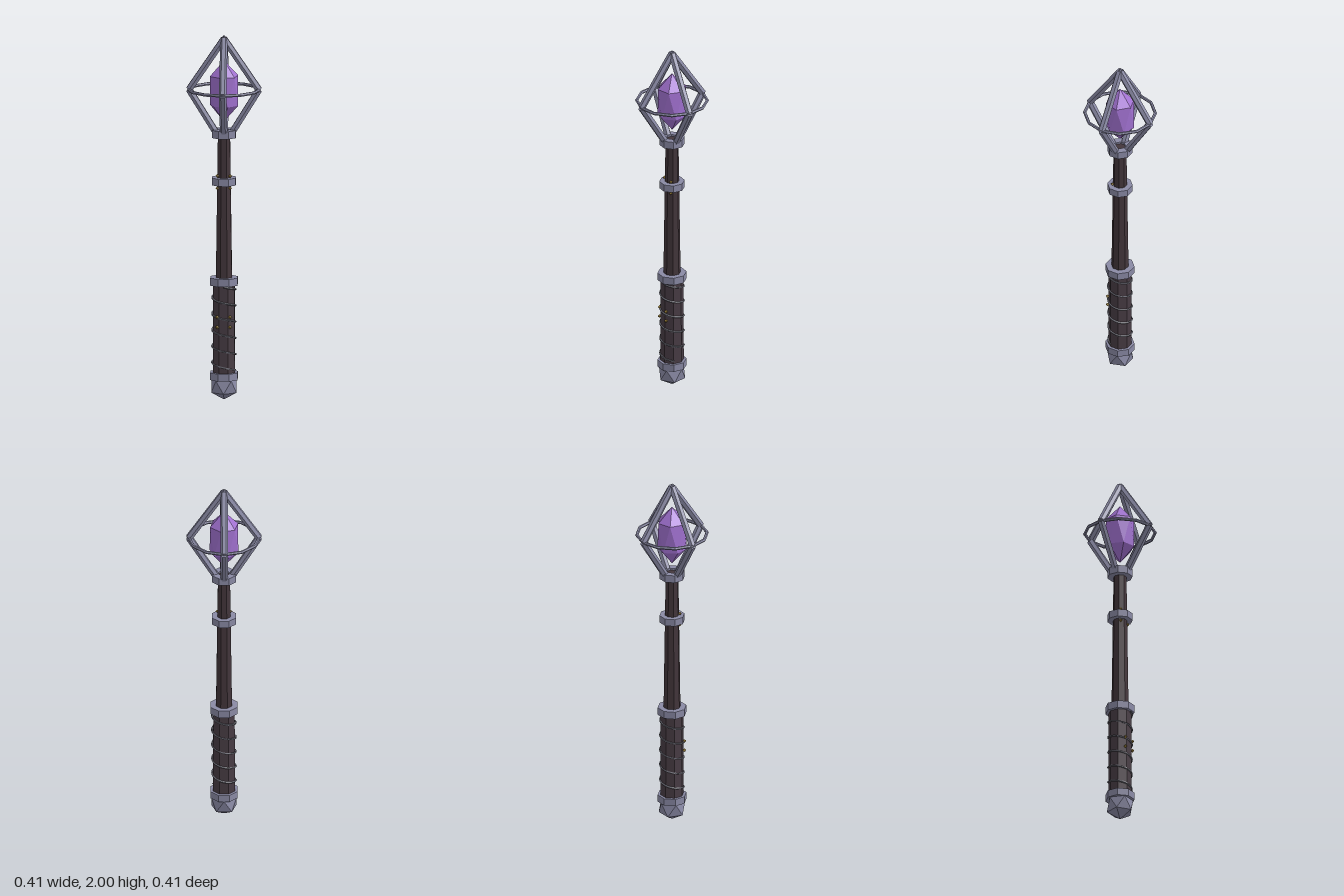
import * as THREE from 'three';
import { ConvexGeometry } from 'three/addons/geometries/ConvexGeometry.js';

const flat = (name, color) => {
  const m = new THREE.MeshStandardMaterial({ color, flatShading: true });
  m.name = name;
  return m;
};

// Gem with two staggered rings of n corners between two points
function gem(n, r, bottom, low, high, top, turn = 0) {
  const pts = [new THREE.Vector3(0, bottom, 0), new THREE.Vector3(0, top, 0)];
  for (let i = 0; i < n; i++) {
    const a = turn + (i / n) * Math.PI * 2, b = a + Math.PI / n;
    pts.push(new THREE.Vector3(Math.sin(a) * r, low, Math.cos(a) * r));
    pts.push(new THREE.Vector3(Math.sin(b) * r, high, Math.cos(b) * r));
  }
  return new ConvexGeometry(pts);
}

// Hollow octagonal band with flat faces towards the axes
function band(y, outer, inner, h) {
  const p = [[inner, -h / 2], [outer, -h / 2], [outer, h / 2], [inner, h / 2], [inner, -h / 2]];
  const g = new THREE.LatheGeometry(p.map(([x, v]) => new THREE.Vector2(x, v)), 8, Math.PI / 8);
  return g.translate(0, y, 0);
}

function rod(a, b, r) {
  const d = new THREE.Vector3().subVectors(b, a);
  const g = new THREE.CylinderGeometry(r, r, d.length(), 6);
  g.applyQuaternion(new THREE.Quaternion().setFromUnitVectors(new THREE.Vector3(0, 1, 0), d.clone().normalize()));
  return g.translate((a.x + b.x) / 2, (a.y + b.y) / 2, (a.z + b.z) / 2);
}

export function createModel() {
  const metal = flat('steel', 0x8a8aa5);
  const wood = flat('dark wood', 0x43363b);
  const leather = flat('grip leather', 0x483c44);
  const wire = flat('grip wire', 0x65656f);
  const purple = flat('purple crystal', 0xa272d2);
  const gold = flat('gold', 0xa88a3c);
  const group = new THREE.Group();
  const add = (name, geo, mat, parent = group) => {
    const m = new THREE.Mesh(geo, mat);
    m.name = name;
    parent.add(m);
    return m;
  };

  // Pommel, grip and tapered shaft
  add('pommel', gem(5, 0.071, 0.005, 0.045, 0.115, 0.15), metal);
  add('grip', new THREE.CylinderGeometry(0.062, 0.064, 0.53, 8).rotateY(Math.PI / 8).translate(0, 0.39, 0), leather);
  add('shaft', new THREE.CylinderGeometry(0.035, 0.047, 0.83, 8).rotateY(Math.PI / 8).translate(0, 1.055, 0), wood);

  // Bands
  add('pommelBand', band(0.135, 0.079, 0.05, 0.04), metal);
  add('gripBand', band(0.653, 0.079, 0.042, 0.042), metal);
  add('shaftBand', band(1.2, 0.069, 0.035, 0.04), metal);
  add('headBand', band(1.46, 0.069, 0.03, 0.042), metal);

  // Wire wound round the grip, falling from left to right at the front
  const coil = [];
  for (let i = 0; i <= 80; i++) {
    const a = (i / 80) * Math.PI * 10.4;
    coil.push(new THREE.Vector3(Math.sin(a) * 0.064, 0.63 - (i / 80) * 0.46, Math.cos(a) * 0.064));
  }
  add('gripWire', new THREE.TubeGeometry(new THREE.CatmullRomCurve3(coil), 160, 0.0055, 4), wire);

  // Small gold studs at the front of the grip and round the shaft band
  for (const x of [-0.035, 0.035]) {
    for (const y of [0.41, 0.465]) {
      add('gripStud', new THREE.OctahedronGeometry(0.011).translate(x, y, 0.057), gold);
    }
    for (const y of [1.165, 1.232]) {
      add('shaftStud', new THREE.OctahedronGeometry(0.01).translate(x, y, 0.027), gold);
    }
  }

  // Crystal
  add('crystal', gem(6, 0.079, 1.525, 1.615, 1.775, 1.86, 0.3), purple);

  // Cage: four bent bars and a twelve-sided hoop
  const cage = new THREE.Group();
  cage.name = 'cage';
  group.add(cage);
  const top = new THREE.Vector3(0, 1.978, 0);
  const elbow = new THREE.Vector3(0.188, 1.7, 0);
  const foot = new THREE.Vector3(0.043, 1.465, 0);
  for (let i = 0; i < 4; i++) {
    const bar = new THREE.Group();
    bar.name = 'cageBar';
    bar.rotation.y = (i * Math.PI) / 2;
    cage.add(bar);
    add('upperBar', rod(elbow, top, 0.02), metal, bar);
    add('lowerBar', rod(foot, elbow, 0.02), metal, bar);
  }
  add('cageTip', new THREE.ConeGeometry(0.018, 0.03, 4).translate(0, 1.985, 0), metal, cage);
  add('cageHoop', new THREE.TorusGeometry(0.19, 0.009, 6, 12).rotateX(Math.PI / 2).translate(0, 1.7, 0), metal, cage);

  return group;
}
